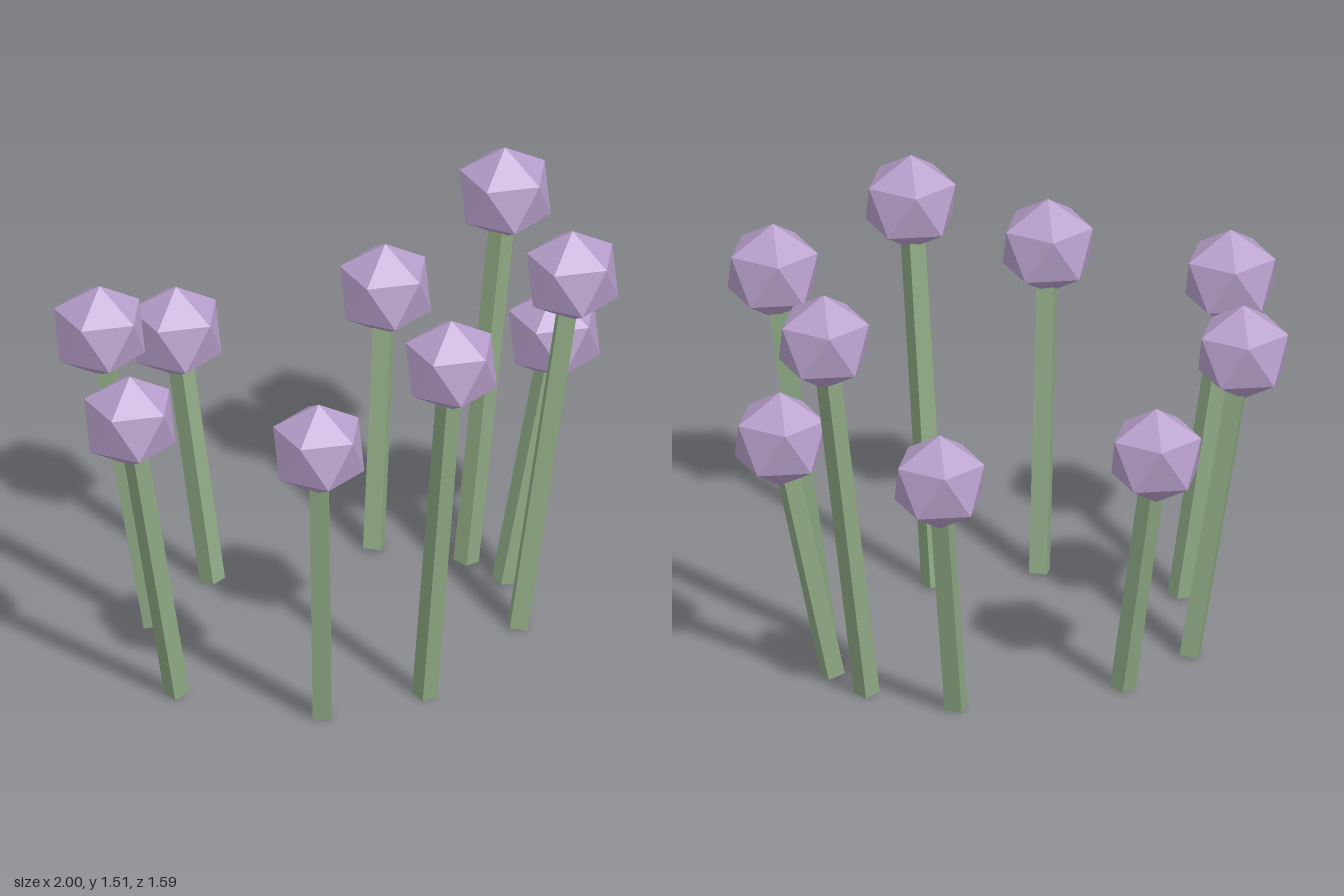
import * as THREE from 'three';

export function createModel() {
  const model = new THREE.Group();
  const purple = new THREE.MeshStandardMaterial({ color: 0xb79fcb, flatShading: true });
  const green = new THREE.MeshStandardMaterial({ color: 0x8ea883, flatShading: true });

  // Icosahedron turned so one corner points straight up
  const headGeometry = new THREE.IcosahedronGeometry(0.17, 0);
  headGeometry.rotateZ(-Math.atan(1 / ((1 + Math.sqrt(5)) / 2)));

  // Head centres of the ring of flowers: x, y, z
  const heads = [
    [0.847, 0.9, -0.008],
    [0.71, 1.34, 0.345],
    [0.067, 1.34, 0.648],
    [-0.4, 1.12, 0.575],
    [-0.847, 1.12, 0.1],
    [-0.635, 1.12, -0.46],
    [-0.23, 0.9, -0.65],
    [0.51, 0.9, -0.54],
    [0.793, 1.34, -0.238],
  ];

  const spread = 0.77; // foot radius relative to head radius
  for (const [x, y, z] of heads) {
    const flower = new THREE.Group();
    flower.name = 'flower';

    const head = new THREE.Mesh(headGeometry, purple);
    head.name = 'flowerHead';
    head.position.set(x, y, z);

    // Square stem leaning outwards from its foot to the head centre
    const run = Math.hypot(x, z) * (1 - spread);
    const lean = Math.atan2(run, y);
    const foot = 0.03 * Math.sin(lean);
    const stemGeometry = new THREE.BoxGeometry(0.06, Math.hypot(run, y - foot), 0.06);
    const stem = new THREE.Mesh(stemGeometry, green);
    stem.name = 'stem';
    const mid = (1 + spread) / 2;
    stem.position.set(x * mid, (y + foot) / 2, z * mid);
    stem.rotation.set(0, Math.atan2(-z, x), -lean, 'YXZ');

    flower.add(head, stem);
    model.add(flower);
  }
  return model;
}
